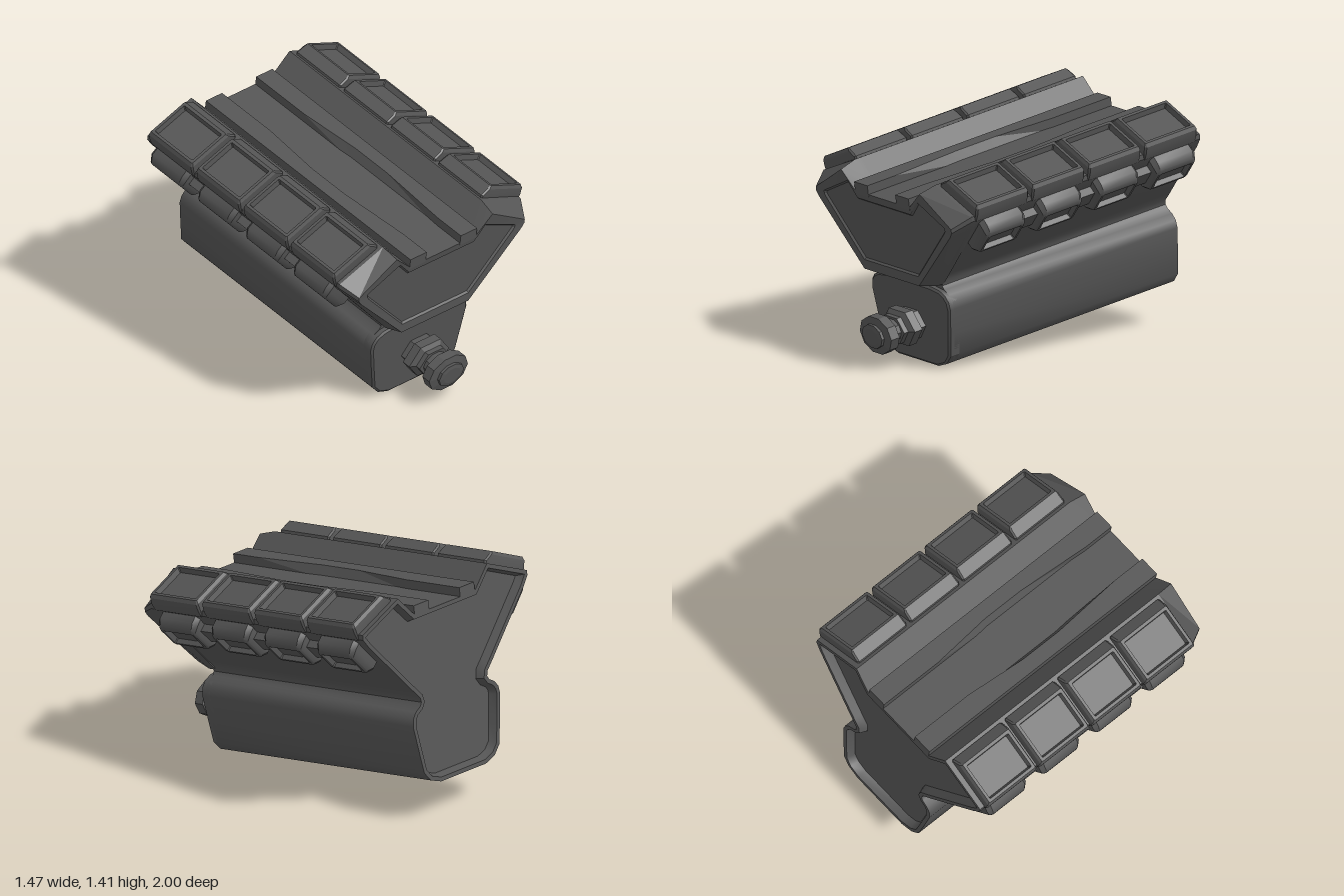
import * as THREE from 'three';
import { toCreasedNormals } from 'three/addons/utils/BufferGeometryUtils.js';

const material = new THREE.MeshStandardMaterial({ color: 0x555555 });
const flat = new THREE.MeshStandardMaterial({ color: 0x555555, flatShading: true });
const TILT = 0.144;
const BACK = -1.022;

// Skin a list of [outline, depth] rings (counter-clockwise outlines) and cap both ends
function loft(rings, crease = 0.5) {
  const pos = [];
  const at = (i, j) => {
    const [pts, z] = rings[i];
    const p = pts[j % pts.length];
    return [p[0], p[1], z];
  };
  const n = rings[0][0].length;
  for (let i = 0; i < rings.length - 1; i++) {
    for (let j = 0; j < n; j++) {
      const a = at(i, j), b = at(i, j + 1), c = at(i + 1, j + 1), d = at(i + 1, j);
      pos.push(...a, ...b, ...c, ...a, ...c, ...d);
    }
  }
  for (const [i, flip] of [[0, true], [rings.length - 1, false]]) {
    const contour = rings[i][0].map((p) => new THREE.Vector2(p[0], p[1]));
    for (const [a, b, c] of THREE.ShapeUtils.triangulateShape(contour, [])) {
      pos.push(...at(i, a), ...at(i, flip ? c : b), ...at(i, flip ? b : c));
    }
  }
  const geo = new THREE.BufferGeometry();
  geo.setAttribute('position', new THREE.Float32BufferAttribute(pos, 3));
  return toCreasedNormals(geo, crease);
}

// Move every edge of an outline inwards by d
function inset(pts, d) {
  const n = pts.length;
  const normal = (a, b) => {
    const l = Math.hypot(b[0] - a[0], b[1] - a[1]);
    return [-(b[1] - a[1]) / l, (b[0] - a[0]) / l];
  };
  return pts.map((p, i) => {
    const u = normal(pts[(i + n - 1) % n], p), v = normal(p, pts[(i + 1) % n]);
    const k = d / (1 + u[0] * v[0] + u[1] * v[1]);
    return [p[0] + (u[0] + v[0]) * k, p[1] + (u[1] + v[1]) * k];
  });
}

// Complete a right-hand half outline, listed bottom to top
const mirror = (half) => [...half, ...half.map(([x, y]) => [-x, y]).reverse()];

// Rectangle with cut corners
function rect(x0, x1, length, c) {
  const h = length / 2;
  return [[x0 + c, -h], [x1 - c, -h], [x1, c - h], [x1, h - c],
    [x1 - c, h], [x0 + c, h], [x0, h - c], [x0, c - h]];
}

function add(parent, name, geo, mat = material) {
  const mesh = new THREE.Mesh(geo, mat);
  mesh.name = name;
  parent.add(mesh);
  return mesh;
}

// Lay a part on a sloping side: its x follows dir, its z points away along out
function layOn(mesh, x, y, w, dir, out) {
  const X = new THREE.Vector3(dir[0], dir[1], 0).normalize();
  const Z = new THREE.Vector3(out[0], out[1], 0).normalize();
  const Y = new THREE.Vector3().crossVectors(Z, X);
  mesh.quaternion.setFromRotationMatrix(new THREE.Matrix4().makeBasis(X, Y, Z));
  mesh.position.set(x, y, w);
}

export function createModel() {
  const model = new THREE.Group();
  model.name = 'model';
  const tilted = new THREE.Group();
  tilted.name = 'tiltedAssembly';
  tilted.rotation.x = TILT;
  model.add(tilted);

  // Main body: rounded lower housing, neck and flared upper, recessed at the back
  const lowerHalf = [[0.19, 0.094], [0.27, 0.122], [0.32, 0.178], [0.345, 0.32], [0.37, 0.47],
    [0.362, 0.515], [0.335, 0.55]];
  const section = mirror([...lowerHalf, [0.295, 0.573], [0.28, 0.595], [0.287, 0.625], [0.335, 0.675],
    [0.66, 1.03], [0.7, 1.085], [0.7, 1.115], [0.38, 1.246], [0.255, 1.115]]);
  add(tilted, 'mainBody', loft([
    [inset(section, 0.042), BACK + 0.05],
    [inset(section, 0.025), BACK],
    [section, BACK],
    [section, 0.615],
  ], 0.6));

  // Rounded front end of the lower housing
  const lowerFront = mirror([...lowerHalf, [0.285, 0.573], [0.2, 0.583]]);
  add(tilted, 'lowerFront', loft([
    [lowerFront, 0.58],
    [lowerFront, 0.642],
    [inset(lowerFront, 0.013), 0.652],
  ]));

  // Tapered front of the upper body with a framed, sunken panel
  const noseBack = mirror([[0.28, 0.605], [0.66, 1.03], [0.7, 1.085], [0.7, 1.115], [0.38, 1.246], [0.255, 1.115]]);
  const noseFront = mirror([[0.258, 0.635], [0.62, 1.005], [0.64, 1.035], [0.64, 1.06], [0.37, 1.222], [0.255, 1.115]]);
  const panel = mirror([[0.255, 0.69], [0.555, 1.01], [0.57, 1.03], [0.57, 1.05], [0.33, 1.16], [0.25, 1.07]]);
  add(tilted, 'frontFrame', loft([
    [noseBack, 0.6],
    [noseBack, 0.65],
    [noseFront, 0.762],
    [panel, 0.757],
    [inset(panel, 0.01), 0.745],
  ], 0.2));

  // Top rails whose inner edge is scooped along the middle
  for (const s of [1, -1]) {
    const rail = (d) => {
      const pts = [[0.132, 1.1], [0.257, 1.1], [0.257, 1.169], [0.132 + d, 1.169]];
      return s > 0 ? pts : pts.map(([x, y]) => [-x, y]).reverse();
    };
    add(tilted, s > 0 ? 'leftRail' : 'rightRail', loft([
      [rail(0), BACK], [rail(0), -0.6], [rail(0.034), -0.2],
      [rail(0.034), 0.08], [rail(0), 0.56], [rail(0), 0.762],
    ], 0.1));
  }

  // Rows of tray-like blocks on the shoulders and sunken-panel pads on the flared sides
  const blockGeo = loft([
    [rect(-0.165, 0.17, 0.375, 0.005), -0.03],
    [rect(-0.171, 0.174, 0.385, 0.01), 0.015],
    [rect(-0.135, 0.168, 0.38, 0.01), 0.056],
    [rect(-0.119, 0.152, 0.36, 0.005), 0.075],
    [rect(-0.1, 0.135, 0.325, 0.005), 0.075],
    [rect(-0.093, 0.128, 0.31, 0.005), 0.042],
  ], 0.3);
  const padGeo = loft([
    [rect(-0.125, 0.125, 0.3, 0.025), -0.03],
    [rect(-0.122, 0.122, 0.305, 0.025), 0.042],
    [rect(-0.095, 0.095, 0.28, 0.02), 0.08],
    [rect(-0.08, 0.08, 0.26, 0.015), 0.09],
    [rect(-0.066, 0.066, 0.23, 0.005), 0.09],
    [rect(-0.06, 0.06, 0.215, 0.005), 0.06],
  ], 0.6);
  const rodGeo = new THREE.BoxGeometry(0.11, 1.3, 0.1);
  for (const s of [1, -1]) {
    const side = new THREE.Group();
    side.name = s > 0 ? 'leftGrips' : 'rightGrips';
    tilted.add(side);
    const flareDir = [s * 0.673, 0.74], flareOut = [s * 0.74, -0.673];
    for (let i = 0; i < 4; i++) {
      const k = i - 1.5;
      layOn(add(side, 'shoulderBlock', blockGeo), s * 0.555, 1.173, -0.18 + k * 0.412,
        [s * 0.923, -0.386], [s * 0.386, 0.923]);
      layOn(add(side, 'sidePad', padGeo), s * 0.613, 0.98, -0.187 + k * 0.416, flareDir, flareOut);
    }
    layOn(add(side, 'padConnector', rodGeo), s * 0.613, 0.98, -0.187, flareDir, flareOut);
  }

  // Front knob: hex collar, neck and stepped disc, wider than tall
  const knob = new THREE.Group();
  knob.name = 'frontKnob';
  knob.position.set(0, 0.328, 0);
  knob.scale.set(1.3, 1, 1);
  tilted.add(knob);
  const turned = (name, profile, sides) => {
    const geo = new THREE.LatheGeometry(profile.map(([r, w]) => new THREE.Vector2(r, w)), sides);
    geo.rotateY(Math.PI / sides);
    geo.rotateX(Math.PI / 2);
    add(knob, name, geo, flat);
  };
  turned('collar', [[0.095, 0.64], [0.095, 0.69], [0.118, 0.7], [0.118, 0.755], [0.09, 0.775],
    [0.09, 0.805], [0, 0.805]], 6);
  turned('disc', [[0.068, 0.79], [0.068, 0.85], [0.1, 0.855], [0.115, 0.865], [0.115, 0.925],
    [0.073, 0.935], [0.073, 0.952], [0.05, 0.957], [0, 0.957]], 10);

  return model;
}
